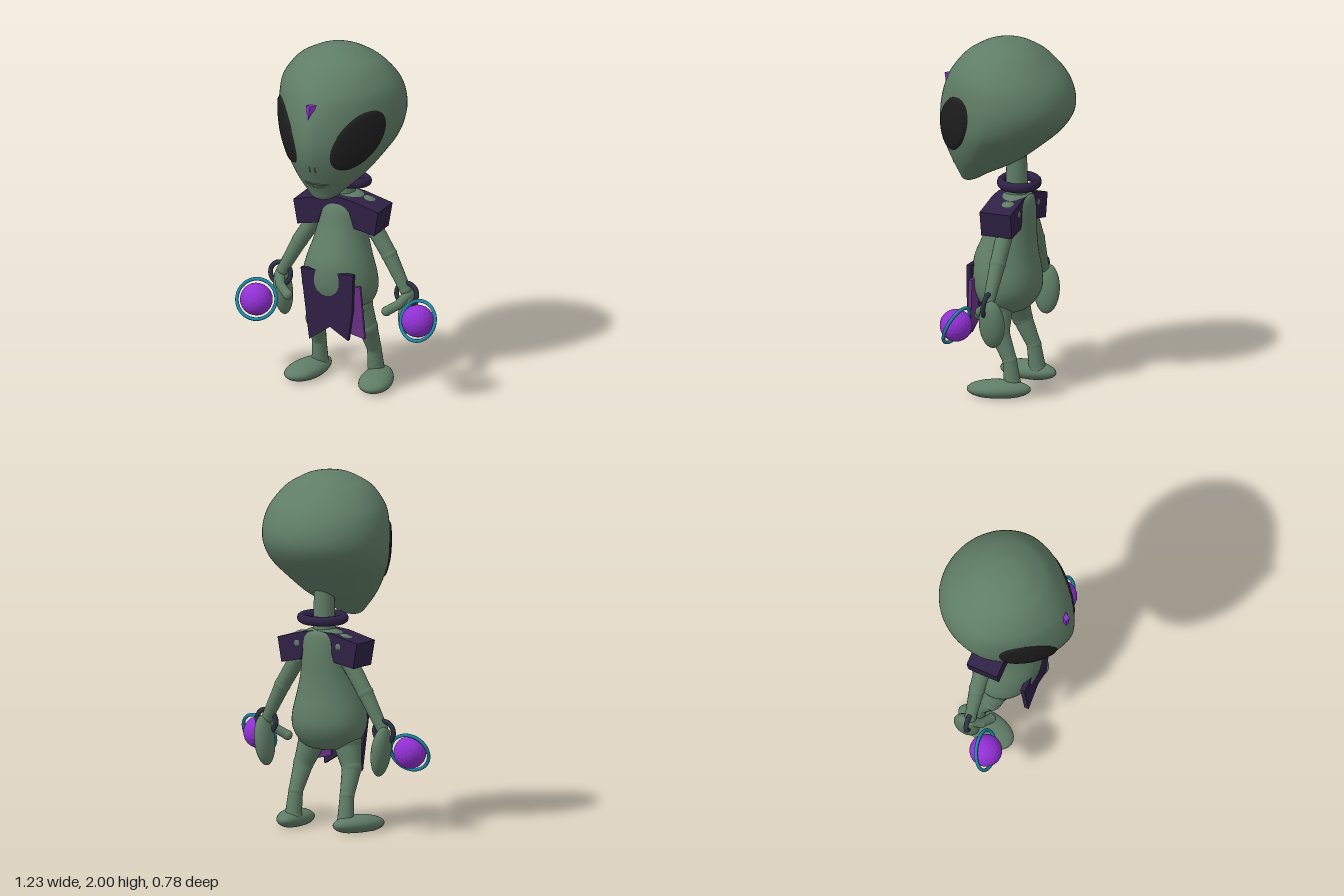
import * as THREE from 'three';
import { ConvexGeometry } from 'three/addons/geometries/ConvexGeometry.js';

const mat = (name, color, extra = {}) => {
  const m = new THREE.MeshStandardMaterial({ color, ...extra });
  m.name = name;
  return m;
};
const V = (x, y, z) => new THREE.Vector3(x, y, z);
const CX = -0.022; // body centre line

// Rows: y, half width, back z, widest z, front z, front roundness
const HEAD = [
  [2.0, 0, 0, 0, 0, 2],
  [1.985, 0.1, -0.1, -0.01, 0.09, 2],
  [1.95, 0.18, -0.175, -0.01, 0.165, 2],
  [1.9, 0.255, -0.24, -0.02, 0.235, 1.95],
  [1.8, 0.33, -0.335, -0.03, 0.315, 1.8],
  [1.7, 0.358, -0.382, -0.04, 0.36, 1.65],
  [1.6, 0.36, -0.383, -0.03, 0.383, 1.58],
  [1.5, 0.335, -0.32, 0, 0.386, 1.58],
  [1.4, 0.275, -0.205, 0.06, 0.362, 1.65],
  [1.3, 0.198, -0.07, 0.12, 0.316, 1.8],
  [1.22, 0.115, 0.09, 0.18, 0.275, 1.9],
  [1.175, 0.06, 0.17, 0.21, 0.255, 2],
  [1.158, 0, 0.225, 0.225, 0.225, 2],
];
const TORSO = [
  [1.13, 0, -0.07, -0.07, -0.07, 2],
  [1.11, 0.1, -0.145, -0.07, 0.01, 2],
  [1.05, 0.135, -0.165, -0.06, 0.062, 2],
  [0.95, 0.137, -0.172, -0.05, 0.09, 2],
  [0.85, 0.155, -0.175, -0.03, 0.132, 2],
  [0.75, 0.185, -0.185, -0.01, 0.173, 2],
  [0.65, 0.212, -0.2, -0.01, 0.181, 2],
  [0.57, 0.215, -0.198, -0.01, 0.168, 2],
  [0.5, 0.185, -0.165, -0.01, 0.14, 2],
  [0.45, 0.125, -0.11, -0.01, 0.09, 2],
  [0.43, 0, -0.01, -0.01, -0.01, 2],
];

// Smooth interpolation between rows, t from 0 to 1
function rowAt(rows, t) {
  const f = t * (rows.length - 1), i = Math.min(Math.floor(f), rows.length - 2), k = f - i;
  const at = n => rows[Math.max(0, Math.min(rows.length - 1, n))];
  return rows[i].map((b, c) => {
    const a = at(i - 1)[c], d = at(i + 1)[c], e = at(i + 2)[c];
    return b + 0.5 * k * (d - a + k * (2 * a - 5 * b + 4 * d - e + k * (3 * (b - d) + e - a)));
  });
}
function pointOn(rows, t, angle) {
  const [y, w, zb, zc, zf, p] = rowAt(rows, t);
  const c = Math.cos(angle), s = Math.sin(angle), e = s > 0 ? 2 / p : 1;
  const z = zc + (s > 0 ? (zf - zc) * Math.pow(s, e) : (zc - zb) * s);
  return V(w * Math.sign(c) * Math.pow(Math.abs(c), e), y, z);
}

// Grid of points to a smooth surface; columns wrap around
function skin(point, nRows, nCols) {
  const pos = [], idx = [];
  for (let i = 0; i <= nRows; i++)
    for (let j = 0; j < nCols; j++) pos.push(...point(i / nRows, (j / nCols) * Math.PI * 2).toArray());
  for (let i = 0; i < nRows; i++)
    for (let j = 0; j < nCols; j++) {
      const a = i * nCols + j, b = i * nCols + ((j + 1) % nCols);
      idx.push(a, b, a + nCols, b, b + nCols, a + nCols);
    }
  const g = new THREE.BufferGeometry();
  g.setAttribute('position', new THREE.Float32BufferAttribute(pos, 3));
  g.setIndex(idx);
  g.computeVertexNormals();
  return g;
}

// Bisect for increasing-to-zero search
function solve(f, lo, hi) {
  for (let i = 0; i < 40; i++) {
    const m = (lo + hi) / 2;
    if (f(m) > 0) lo = m; else hi = m;
  }
  return (lo + hi) / 2;
}
// Head surface point at height y where x*a - z*b = u
function onHead(u, y, a, b, lo, hi) {
  const t = solve(k => rowAt(HEAD, k)[0] - y, 0, 1);
  const angle = solve(k => { const p = pointOn(HEAD, t, k); return p.x * a - p.z * b - u; }, lo, hi);
  return pointOn(HEAD, t, angle);
}

export function createModel() {
  const root = new THREE.Group();
  const skinMat = mat('green skin', 0x5f7d66);
  const eyeMat = mat('black eye', 0x1e1e1f, { side: THREE.DoubleSide });
  const cloth = mat('dark violet cloth', 0x2f2145);
  const sash = mat('purple cloth', 0x6a3185);
  const glow = mat('bright purple', 0x9030d2, { flatShading: true });
  const teal = mat('teal ring', 0x1c88a6);
  const slate = mat('slate bracelet', 0x2b3444);

  const add = (name, geo, m, x = 0, y = 0, z = 0, parent = root) => {
    const o = new THREE.Mesh(geo, m);
    o.name = name;
    o.position.set(x, y, z);
    parent.add(o);
    return o;
  };
  // Tapered segments with ball joints; points are [x, y, z, radius]
  const limb = (name, pts, s) => {
    const g = new THREE.Group();
    g.name = name;
    root.add(g);
    pts.forEach(([x, y, z, r], i) => {
      const p = V(CX + s * x, y, z);
      add(name + 'Joint', new THREE.SphereGeometry(r, 18, 12), skinMat, p.x, p.y, p.z, g);
      if (!i) return;
      const [qx, qy, qz, qr] = pts[i - 1], q = V(CX + s * qx, qy, qz);
      const d = q.clone().sub(p), mid = q.add(p).multiplyScalar(0.5);
      const seg = add(name + 'Segment', new THREE.CylinderGeometry(qr * 0.95, r * 0.95, d.length(), 18, 1, true), skinMat, mid.x, mid.y, mid.z, g);
      seg.quaternion.setFromUnitVectors(V(0, 1, 0), d.normalize());
    });
  };
  const plate = (name, pts, depth, m, x, z) => add(name, new THREE.ExtrudeGeometry(
    new THREE.Shape(pts.map(p => new THREE.Vector2(...p))), { depth, bevelEnabled: false }), m, x, 0, z);

  // Head, neck and torso
  add('head', skin((t, a) => pointOn(HEAD, t, a), 48, 64), skinMat, CX);
  add('torso', skin((t, a) => pointOn(TORSO, t, a), 36, 48), skinMat, CX);
  add('neck', new THREE.CylinderGeometry(0.055, 0.065, 0.32, 20), skinMat, CX, 1.22, -0.065);
  const collar = add('collar', new THREE.TorusGeometry(0.125, 0.027, 10, 32), cloth, CX, 1.18, -0.08);
  collar.rotation.x = Math.PI / 2 - 0.08;
  collar.scale.y = 0.78;

  // Mouth and forehead gem
  const lip = h => new THREE.TubeGeometry(new THREE.CatmullRomCurve3([-1, -0.6, 0, 0.6, 1].map(k =>
    onHead(k * 0.07, 1.265 + h * (1 - k * k) + 0.012 * k * k, 1, 0, 0, Math.PI))), 24, 0.005, 6);
  add('upperLip', lip(0.012), skinMat, CX);
  add('lowerLip', lip(-0.012), skinMat, CX);
  add('foreheadGem', new ConvexGeometry([V(-0.055, 1.755, 0.36), V(-0.02, 1.755, 0.31), V(0.013, 1.755, 0.315),
    V(-0.027, 1.755, 0.372), V(-0.057, 1.668, 0.335), V(-0.043, 1.65, 0.365), V(0.004, 1.715, 0.33)]), glow);

  // Hanging cloths
  plate('loincloth', [[-0.18, 0.715], [0.14, 0.715], [0.135, 0.5], [0.11, 0.325], [0, 0.392], [-0.127, 0.302], [-0.16, 0.56]], 0.026, cloth, 0, 0.142);
  const side = plate('sideCloth', [[0.05, 0.64], [0.17, 0.64], [0.197, 0.34], [0.06, 0.375]], 0.02, sash, 0, 0.135);
  side.rotation.y = 0.08;

  for (const s of [1, -1]) {
    const n = s > 0 ? 'left' : 'right';
    // Slanted eye wrapped on the head, with the rim on the surface
    add(n + 'Eye', skin((t, a) => {
      const p = 0.205 * t * Math.cos(a), q = 0.128 * t * Math.sin(a);
      const h = onHead((p - q) * 0.707, 1.54 + (p + q) * 0.707, 0.707, 0.707, -0.6, Math.PI / 2 + 0.2);
      const lift = t > 0.99 ? -0.002 : 0.009;
      return V(s * (h.x + lift * 0.75), h.y, h.z + lift * 0.65);
    }, 12, 40), eyeMat, CX);
    // Nostril
    const nose = [1.36, 1.38, 1.4].map(y => onHead(s * 0.016, y, 1, 0, 0, Math.PI));
    add(n + 'Nostril', new THREE.TubeGeometry(new THREE.CatmullRomCurve3(nose), 6, 0.004, 6), skinMat, CX);

    // Shoulder pad
    plate(n + 'ShoulderPad', [[0, 1.115], [s * 0.09, 1.105], [s * 0.26, 1.06], [s * 0.235, 0.92], [s * 0.11, 0.945], [s * 0.08, 1.04], [0, 1.06]],
      0.185, cloth, CX, -0.138);

    // Arm, hand and bracelet
    limb(n + 'Arm', [[0.135, 1.035, -0.075, 0.066], [0.17, 0.94, -0.07, 0.05], [0.272, 0.78, -0.068, 0.046], [0.375, 0.59, -0.06, 0.034]], s);
    const hand = add(n + 'Hand', new THREE.SphereGeometry(1, 24, 18), skinMat, CX + s * 0.382, 0.462, -0.08);
    hand.scale.set(0.048, 0.14, 0.075);
    hand.rotation.z = -s * 0.12;
    limb(n + 'Thumb', [[0.39, 0.56, -0.05, 0.03], [0.36, 0.52, 0, 0.027], [0.302, 0.483, 0.03, 0.028]], s);
    const band = add(n + 'Bracelet', new THREE.TorusGeometry(0.062, 0.014, 8, 28), slate, CX + s * 0.385, 0.57, -0.055);
    band.rotation.x = -0.1;

    // Floating orb with its ring
    const y = s > 0 ? 0.475 : 0.445;
    add(n + 'Orb', new THREE.IcosahedronGeometry(0.091, 3), glow, s * 0.493, y, 0.077);
    const ring = add(n + 'OrbRing', new THREE.TorusGeometry(0.112, 0.01, 8, 40), teal, s * 0.493, y, 0.075);
    ring.rotation.set(-0.42, -s * 0.15, 0);

    // Leg and flat-soled foot, wider at the toe
    limb(n + 'Leg', [[0.11, 0.49, -0.005, 0.085], [0.158, 0.35, -0.03, 0.058], [0.168, 0.2, -0.095, 0.042], [0.172, 0.06, -0.115, 0.05]], s);
    const foot = new THREE.SphereGeometry(1, 28, 20), p = foot.attributes.position;
    for (let i = 0; i < p.count; i++) {
      const z = p.getZ(i);
      p.setXYZ(i, p.getX(i) * 0.092 * (1 + 0.18 * z), Math.max(0, 0.04 + p.getY(i) * 0.052 - 0.004 * z), z * 0.18);
    }
    foot.computeVertexNormals();
    add(n + 'Foot', foot, skinMat, CX + s * 0.208, 0, -0.047).rotation.y = s * 0.22;
  }
  return root;
}
